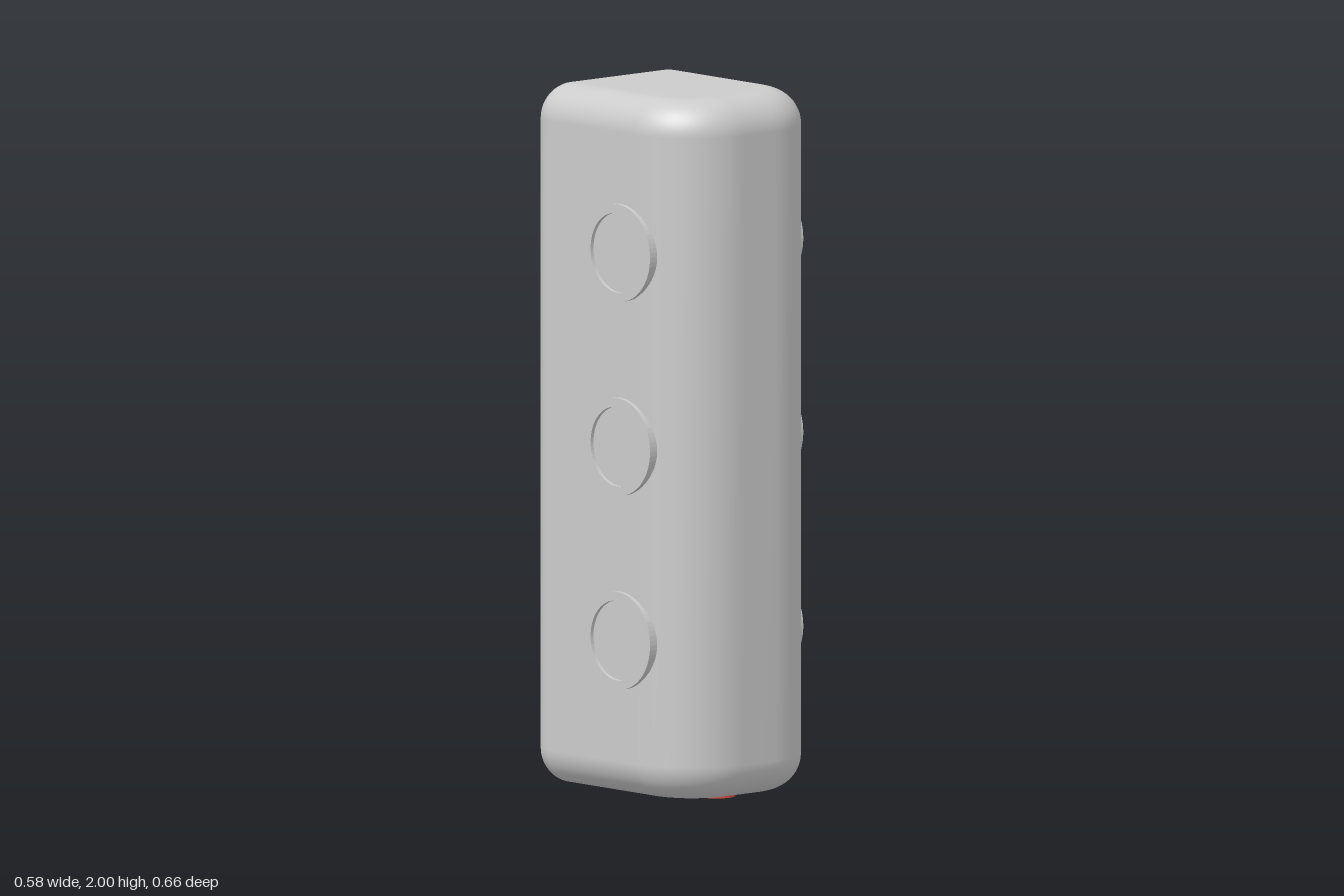
import * as THREE from 'three';

const grey = new THREE.MeshStandardMaterial({ color: 0xcccccc });
const red = new THREE.MeshStandardMaterial({ color: 0xd9503f });

function add(parent, name, geometry, material = grey) {
  const mesh = new THREE.Mesh(geometry, material);
  mesh.name = name;
  parent.add(mesh);
  return mesh;
}

// Housing outline at inset t (0 = full size, 1 = flat top), counterclockwise in x/z.
// Front corners are broad, back corners tight.
function outline(t) {
  const half = 0.276 - 0.1 * t, front = 0.33 - 0.1 * t, back = -0.333 + 0.08 * t;
  const rf = 0.215 - 0.1 * t, rb = 0.082 - 0.08 * t;
  const corners = [
    [half - rf, front - rf, rf, 0], [-half + rf, front - rf, rf, 1],
    [-half + rb, back + rb, rb, 2], [half - rb, back + rb, rb, 3],
  ];
  const points = [], n = 16;
  for (const [cx, cz, r, quarter] of corners) {
    for (let i = 0; i <= n; i++) {
      const a = (quarter + i / n) * Math.PI / 2;
      points.push([cx + r * Math.cos(a), cz + r * Math.sin(a)]);
    }
  }
  return points;
}

// Stacked outlines with rounded top and bottom edges, closed by flat caps.
function housingGeometry() {
  const bottom = 0.015, top = 2, r = 0.1, steps = 12;
  const levels = [];
  for (let i = 0; i <= steps; i++) {
    const a = (i / steps) * Math.PI / 2;
    levels.push([bottom + r * (1 - Math.sin(a)), 1 - Math.cos(a)]);
  }
  levels.reverse();
  levels.reverse();
  const lower = levels.slice().reverse(); // from flat underside up to full size
  const rings = lower.concat(levels.map(([y, t]) => [top + bottom - y, t]));
  rings.sort((p, q) => p[0] - q[0]);

  const positions = [], index = [];
  const count = outline(0).length;
  for (const [y, t] of rings) for (const [x, z] of outline(t)) positions.push(x, y, z);
  for (let j = 0; j < rings.length - 1; j++) {
    for (let i = 0; i < count; i++) {
      const a = j * count + i, b = j * count + (i + 1) % count;
      index.push(a, a + count, b, b, a + count, b + count);
    }
  }
  // caps fan out from a centre point
  const last = (rings.length - 1) * count;
  const c0 = positions.length / 3;
  positions.push(0, bottom, 0, 0, top, 0);
  for (let i = 0; i < count; i++) {
    const k = (i + 1) % count;
    index.push(c0, i, k, c0 + 1, last + k, last + i);
  }
  const g = new THREE.BufferGeometry();
  g.setAttribute('position', new THREE.Float32BufferAttribute(positions, 3));
  g.setIndex(index);
  g.computeVertexNormals();
  return g;
}

// Flat-sided ring whose axis is y, from y0 to y1.
function ringGeometry(inner, outer, y0, y1, segments = 64) {
  const shape = new THREE.Shape().absarc(0, 0, outer, 0, Math.PI * 2);
  shape.holes.push(new THREE.Path().absarc(0, 0, inner, 0, Math.PI * 2, true));
  const g = new THREE.ExtrudeGeometry(shape, { depth: y1 - y0, bevelEnabled: false, curveSegments: segments / 2 });
  g.rotateX(-Math.PI / 2);
  g.translate(0, y0, 0);
  return g;
}

function rectangle(path, hw, hh) {
  path.moveTo(-hw, -hh);
  path.lineTo(hw, -hh);
  path.lineTo(hw, hh);
  path.lineTo(-hw, hh);
  path.closePath();
  return path;
}

export function createModel() {
  const model = new THREE.Group();
  model.name = 'device';
  add(model, 'housing', housingGeometry());

  // three round ports on each side
  const rim = ringGeometry(0.113, 0.138, 0.24, 0.288);
  const face = new THREE.CylinderGeometry(0.114, 0.114, 0.037, 64);
  face.translate(0, 0.2585, 0);
  for (const side of [1, -1]) {
    for (const y of [0.46, 1.01, 1.56]) {
      const port = new THREE.Group();
      port.name = side > 0 ? 'leftPort' : 'rightPort';
      add(port, 'portRim', rim);
      add(port, 'portFace', face);
      port.rotation.z = -side * Math.PI / 2;
      port.position.set(0, y, 0.055);
      model.add(port);
    }
  }

  // framed plate on the underside with a rounded button
  const plate = new THREE.Group();
  plate.name = 'bottomPlate';
  plate.position.z = -0.095;
  const frame = rectangle(new THREE.Shape(), 0.088, 0.155);
  frame.holes.push(rectangle(new THREE.Path(), 0.07, 0.137));
  const frameGeometry = new THREE.ExtrudeGeometry(frame, { depth: 0.02, bevelEnabled: false });
  frameGeometry.rotateX(-Math.PI / 2);
  add(plate, 'plateFrame', frameGeometry);
  add(plate, 'platePanel', new THREE.BoxGeometry(0.15, 0.01, 0.285)).position.y = 0.015;
  const button = add(plate, 'plateButton', new THREE.CylinderGeometry(0.045, 0.045, 0.012, 40));
  button.position.set(0, 0.01, 0.03);
  model.add(plate);

  // red ring with a crossbar in front of the plate
  const dial = new THREE.Group();
  dial.name = 'dial';
  dial.position.z = 0.15;
  add(dial, 'dialRing', ringGeometry(0.038, 0.053, 0.002, 0.02, 48), red);
  add(dial, 'dialBar', new THREE.BoxGeometry(0.014, 0.016, 0.08), red).position.y = 0.011;
  add(dial, 'dialBase', new THREE.CylinderGeometry(0.04, 0.04, 0.01, 40)).position.y = 0.015;
  model.add(dial);

  return model;
}
